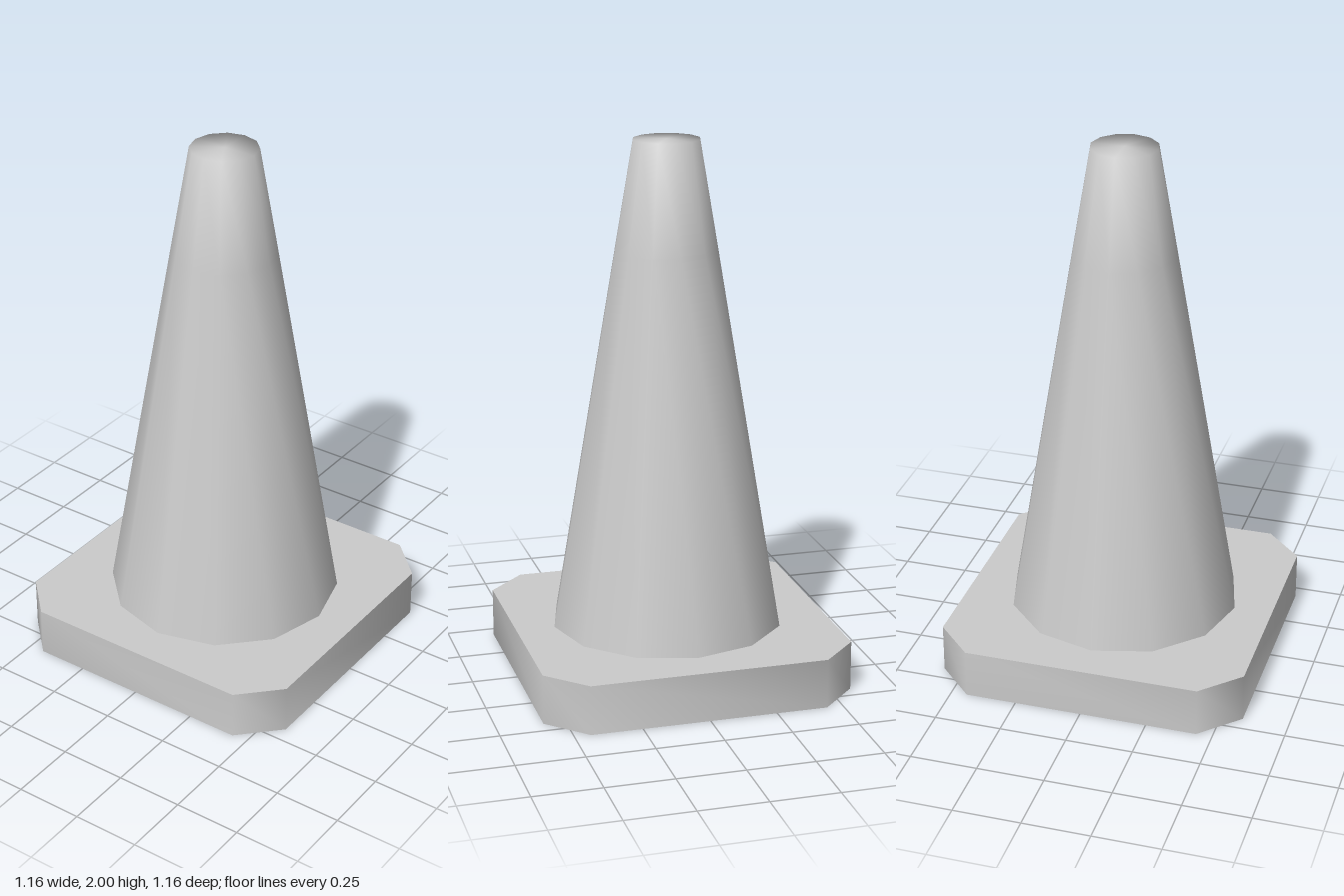
import * as THREE from 'three';
import { toCreasedNormals } from 'three/addons/utils/BufferGeometryUtils.js';

const BASE_HALF = 0.58;   // half width of the base
const CORNER = 0.44;      // where the corner cuts begin
const BASE_HEIGHT = 0.185;

export function createModel() {
  const model = new THREE.Group();
  model.name = 'trafficCone';
  const material = new THREE.MeshStandardMaterial({ color: 0xcccccc });

  // Square base slab with cut corners, shaded softly around its sides
  const outline = new THREE.Shape([
    [CORNER, -BASE_HALF], [BASE_HALF, -CORNER], [BASE_HALF, CORNER], [CORNER, BASE_HALF],
    [-CORNER, BASE_HALF], [-BASE_HALF, CORNER], [-BASE_HALF, -CORNER], [-CORNER, -BASE_HALF],
  ].map(([x, y]) => new THREE.Vector2(x, y)));
  const slab = new THREE.ExtrudeGeometry(outline, { depth: BASE_HEIGHT, bevelEnabled: false });
  slab.rotateX(-Math.PI / 2);
  const base = new THREE.Mesh(toCreasedNormals(slab, Math.PI / 3), material);
  base.name = 'base';
  model.add(base);

  // Twelve-sided tapering body; the flat tip blends smoothly into the sides
  const profile = [[0.435, BASE_HEIGHT], [0.193, 1.6], [0.124, 2], [0, 2]]
    .map(([r, y]) => new THREE.Vector2(r, y));
  const body = new THREE.Mesh(new THREE.LatheGeometry(profile, 12), material);
  body.name = 'coneBody';
  model.add(body);

  return model;
}
